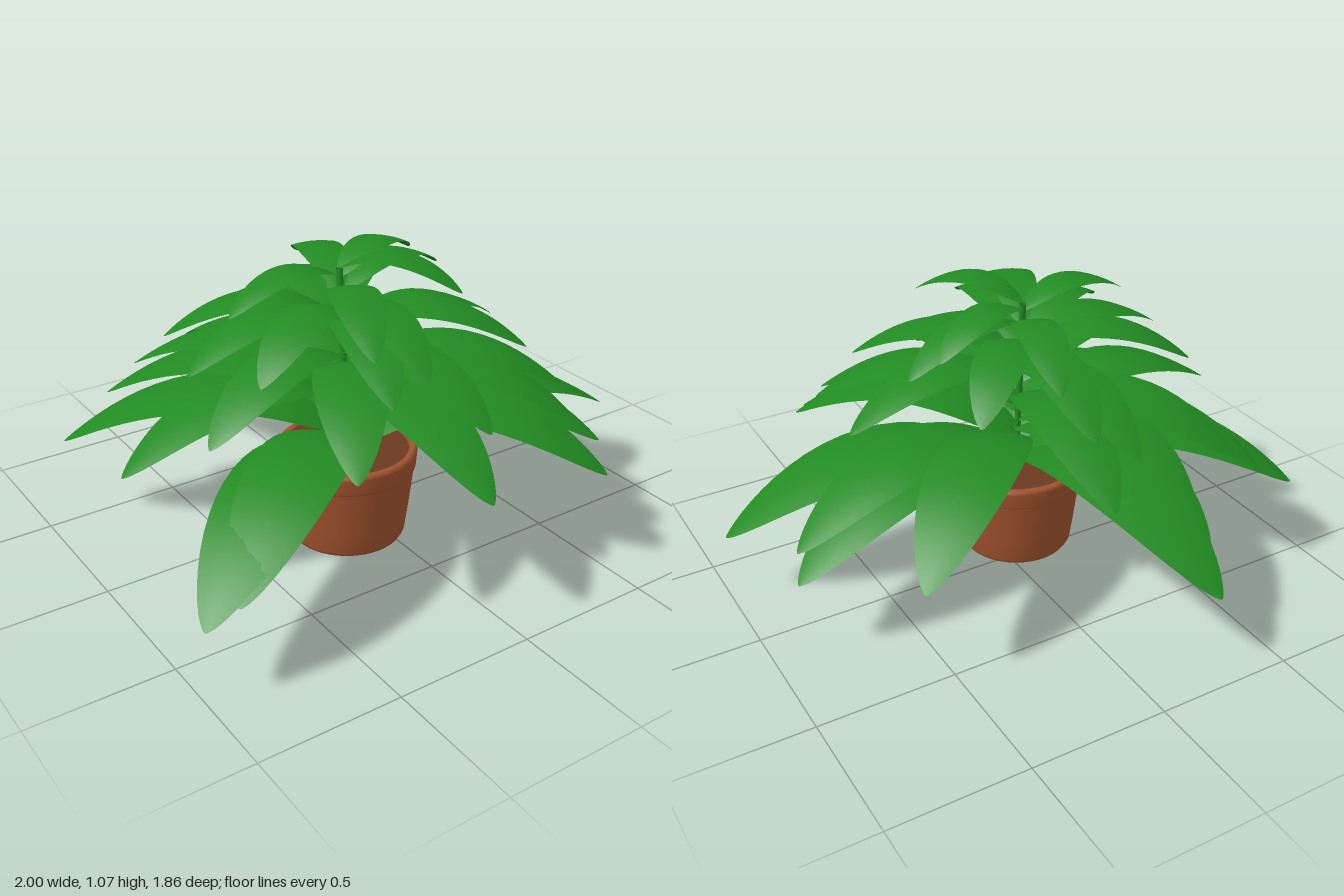
import * as THREE from 'three';

const CX = -0.1, CZ = 0.118;

// Leaf tips seen from above: [x, z]
const TIPS = [
  // long lower leaves
  [1.0, 0.27], [0.9, -0.17], [0.86, -0.07], [0.61, -0.53], [-0.26, -0.93], [-0.91, -0.51],
  [-1.0, 0.72], [-0.89, 0.73], [-0.11, 0.93], [0.46, 0.85], [-0.3, -0.8], [-0.96, 0.11],
  // middle leaves
  [-0.72, -0.53], [-0.6, -0.54], [-0.48, 0.74], [0.54, 0.72], [-0.01, 0.79], [0.0, -0.68],
  [0.44, 0.69], [0.52, 0.54], [0.59, 0.06], [-0.3, 0.67], [-0.77, 0.36], [-0.3, -0.71],
  [-0.63, -0.21], [-0.15, -0.59], [-0.02, -0.53], [-0.71, 0.12],
  // upper leaves
  [0.41, -0.05], [0.3, -0.34], [0.38, 0.5], [-0.16, 0.66], [-0.3, 0.57], [-0.6, 0.39],
  [0.04, -0.41], [0.32, -0.1], [-0.56, 0.13], [0.14, 0.44],
];

// Short leaves sit high, long leaves hang low
const LEVELS = [[0.42, 0.98], [0.53, 0.88], [0.7, 0.66], [0.86, 0.48], [0.95, 0.38], [1.03, 0.305], [1.1, 0.27], [1.3, 0.27]];
function tipHeight(r) {
  if (r <= LEVELS[0][0]) return LEVELS[0][1];
  const i = LEVELS.findIndex(level => r <= level[0]);
  const [r0, y0] = LEVELS[i - 1], [r1, y1] = LEVELS[i];
  return y0 + (y1 - y0) * (r - r0) / (r1 - r0);
}

// The stem leans back very slightly
const stemZ = y => CZ - 0.045 * THREE.MathUtils.clamp((y - 0.33) / 0.7, 0, 1);

// Arching blade: rises from the stem, droops past the middle, ends in a point
function leafGeometry(tipX, tipZ) {
  const tipY = tipHeight(Math.hypot(tipX - CX, tipZ - CZ + 0.03));
  const bz = stemZ(tipY);
  const dx = tipX - CX, dz = tipZ - bz, r = Math.hypot(dx, dz);
  const ux = dx / r, uz = dz / r;
  const bend = 0.69 * r, peak = tipY + bend * 0.325;
  const NT = 24, NS = 6;
  const pos = [], index = [];
  for (let i = 0; i <= NT; i++) {
    const t = (1 - Math.cos(Math.PI * i / NT)) / 2;
    const half = 0.163 * r * t ** 0.65 * (1 - t) ** 0.72 / 0.388;
    const y = peak - bend * (t < 0.43 ? 1.25 : 1) * (t - 0.43) ** 2;
    for (let j = 0; j <= NS; j++) {
      const s = j / NS * 2 - 1;
      pos.push(CX + ux * r * t - uz * half * s, y - 0.1 * half * s * s, bz + uz * r * t + ux * half * s);
    }
  }
  const row = NS + 1;
  for (let i = 0; i < NT; i++) {
    for (let j = 0; j < NS; j++) {
      const a = i * row + j, b = a + 1, c = a + row, d = c + 1;
      index.push(a, b, c, b, d, c);
    }
  }
  const g = new THREE.BufferGeometry();
  g.setAttribute('position', new THREE.Float32BufferAttribute(pos, 3));
  g.setIndex(index);
  g.computeVertexNormals();
  return g;
}

export function createModel() {
  const model = new THREE.Group();
  model.name = 'pottedPlant';
  const clay = new THREE.MeshStandardMaterial({ color: 0xa0522d, side: THREE.DoubleSide });
  const earth = new THREE.MeshStandardMaterial({ color: 0x6b3a20 });
  const green = new THREE.MeshStandardMaterial({ color: 0x228b22, side: THREE.DoubleSide });
  const add = (name, geometry, material, parent = model) => {
    const mesh = new THREE.Mesh(geometry, material);
    mesh.name = name;
    parent.add(mesh);
    return mesh;
  };

  // Tapered pot with a rounded foot, and a collar rim open at the top
  const lathe = pts => new THREE.LatheGeometry(pts.map(p => new THREE.Vector2(...p)), 48);
  add('potBody', lathe([[0, 0], [0.185, 0], [0.202, 0.005], [0.211, 0.02], [0.222, 0.1], [0.234, 0.2], [0.242, 0.275]]), clay)
    .position.set(CX, 0, CZ);
  add('potRim', lathe([[0.236, 0.273], [0.244, 0.273], [0.248, 0.28], [0.253, 0.335], [0.251, 0.346],
    [0.243, 0.352], [0.23, 0.352], [0.223, 0.345], [0.217, 0.28]]), clay).position.set(CX, 0, CZ);
  add('soil', new THREE.CylinderGeometry(0.222, 0.218, 0.03, 48), earth).position.set(CX, 0.32, CZ);

  // Thin central stem
  const path = new THREE.LineCurve3(new THREE.Vector3(CX, 0.32, CZ), new THREE.Vector3(CX, 1.0, stemZ(1.0)));
  add('stem', new THREE.TubeGeometry(path, 4, 0.012, 10), green);

  // Leaves in tiers around the stem
  const leaves = new THREE.Group();
  leaves.name = 'leaves';
  model.add(leaves);
  TIPS.forEach(([x, z], i) => add('leaf' + (i + 1), leafGeometry(x, z), green, leaves));
  return model;
}
